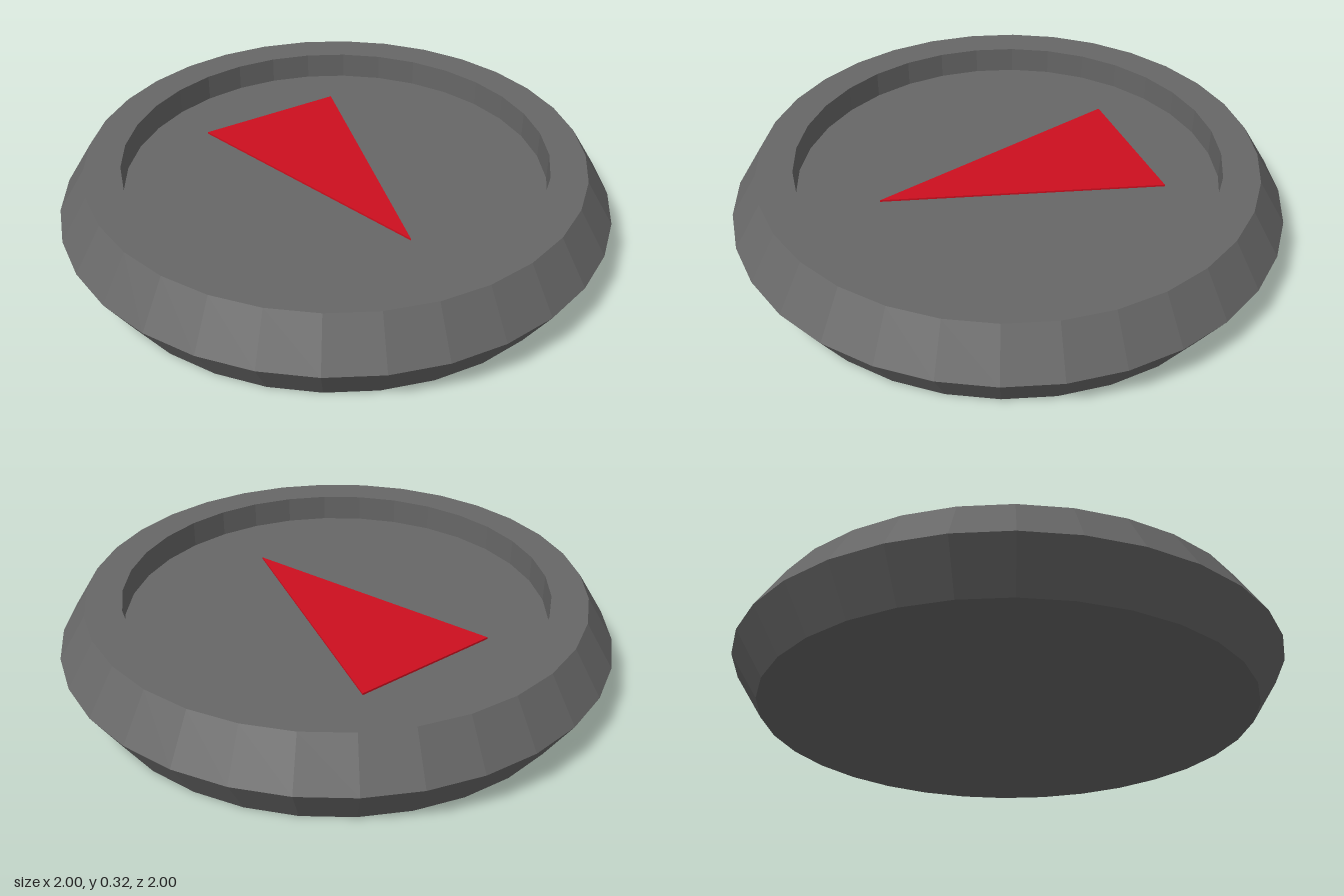
import * as THREE from 'three';

export function createModel() {
  const model = new THREE.Group();
  const add = (name, geometry, color) => {
    const mesh = new THREE.Mesh(geometry, new THREE.MeshStandardMaterial({ color, flatShading: true }));
    mesh.name = name;
    model.add(mesh);
    return mesh;
  };

  // Faceted disc: bevelled outer edge, flat rim and a shallow round recess
  const floorY = 0.22;
  const profile = [
    [0, 0], [0.9, 0], [1, 0.16], [0.9, 0.32], [0.77, 0.32], [0.77, floorY], [0, floorY],
  ].map(([r, y]) => new THREE.Vector2(r, y));
  add('disc', new THREE.LatheGeometry(profile, 32), 0x666666);

  // Thin red pointer lying on the recess floor, its tip towards the front
  const triangle = new THREE.Shape([
    new THREE.Vector2(-0.28, 0.5),
    new THREE.Vector2(0, -0.485),
    new THREE.Vector2(0.28, 0.5),
  ]);
  const pointer = new THREE.ExtrudeGeometry(triangle, { depth: 0.007, bevelEnabled: false });
  pointer.rotateX(-Math.PI / 2);
  add('pointer', pointer, 0xcc0f1f).position.y = floorY;

  return model;
}
